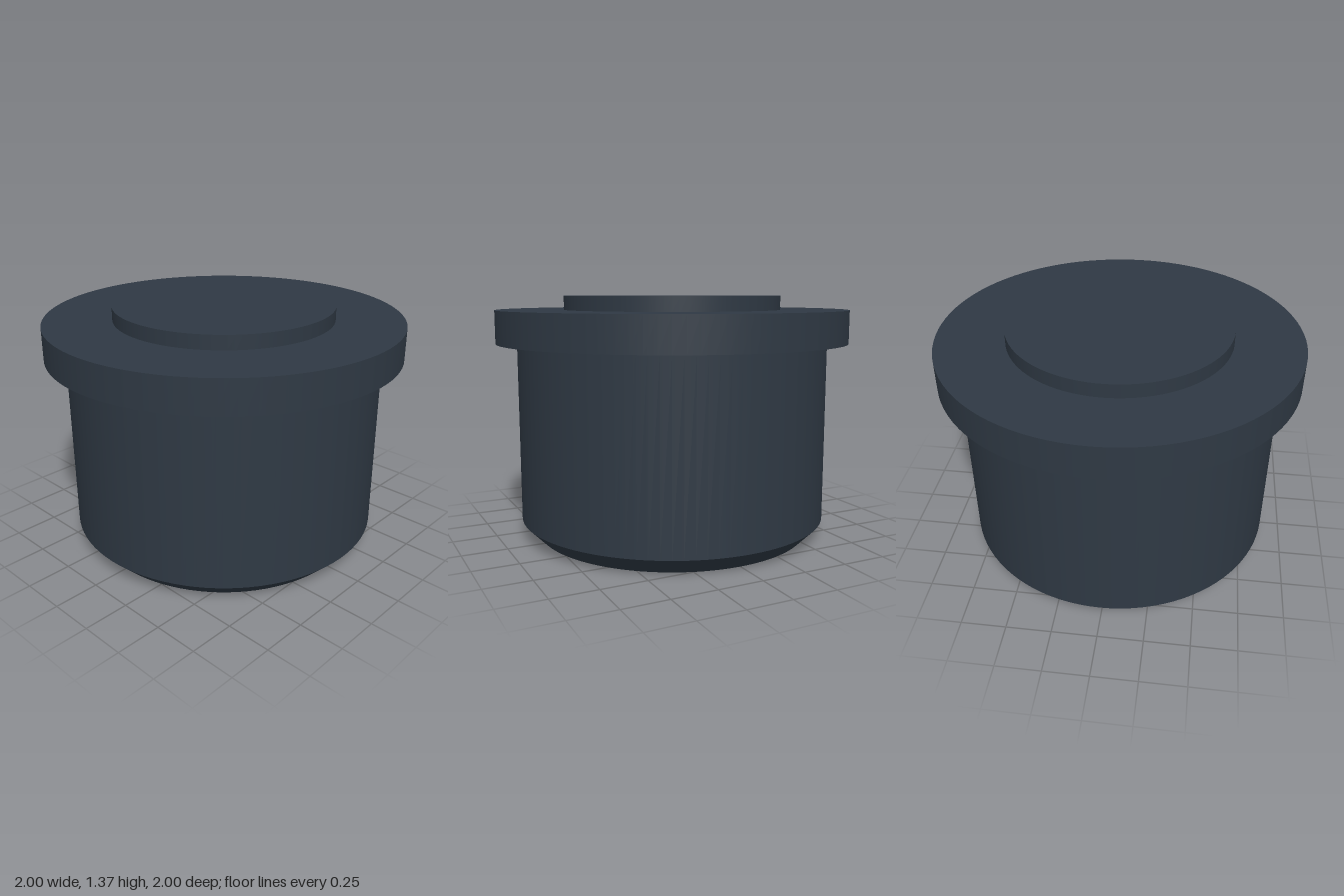
import * as THREE from 'three';

const SEG = 96;
const BODY_R = 0.883, BASE_R = 0.789, CHAMFER_Y = 0.095;
const HOLE_R = 0.097, HOLE_DEPTH = 0.05, HOLE_PITCH = 0.311;

export function createModel() {
  const group = new THREE.Group();
  const darkSlate = new THREE.MeshStandardMaterial({ color: 0x2f3944 });
  darkSlate.name = 'darkSlate';

  const add = (name, geometry, y = 0, z = 0) => {
    const mesh = new THREE.Mesh(geometry, darkSlate);
    mesh.name = name;
    mesh.position.set(0, y, z);
    group.add(mesh);
  };
  // Turned section between two heights
  const turned = (name, rTop, rBottom, y0, y1, open) =>
    add(name, new THREE.CylinderGeometry(rTop, rBottom, y1 - y0, SEG, 1, open), (y0 + y1) / 2);

  turned('topDisc', 0.618, 0.618, 1.287, 1.365, false);
  turned('flange', 1, 1, 1.103, 1.287, false);
  turned('body', BODY_R, BODY_R, CHAMFER_Y, 1.103, true);
  turned('chamfer', BODY_R, BASE_R, 0, CHAMFER_Y, true);

  // Underside plate pierced by a row of five holes
  const plate = new THREE.Shape().absarc(0, 0, BASE_R, 0, Math.PI * 2, false);
  for (let i = -2; i <= 2; i++) {
    const z = i * HOLE_PITCH;
    plate.holes.push(new THREE.Path().absarc(0, z, HOLE_R, 0, Math.PI * 2, true));

    // Shallow pocket: inward-facing wall and a floor facing down
    const wall = [new THREE.Vector2(HOLE_R, HOLE_DEPTH), new THREE.Vector2(HOLE_R, 0)];
    add('holeWall', new THREE.LatheGeometry(wall, 48), 0, z);
    add('holeFloor', new THREE.CircleGeometry(HOLE_R, 48).rotateX(Math.PI / 2), HOLE_DEPTH, z);
  }
  add('underside', new THREE.ShapeGeometry(plate, 48).rotateX(Math.PI / 2));

  return group;
}
